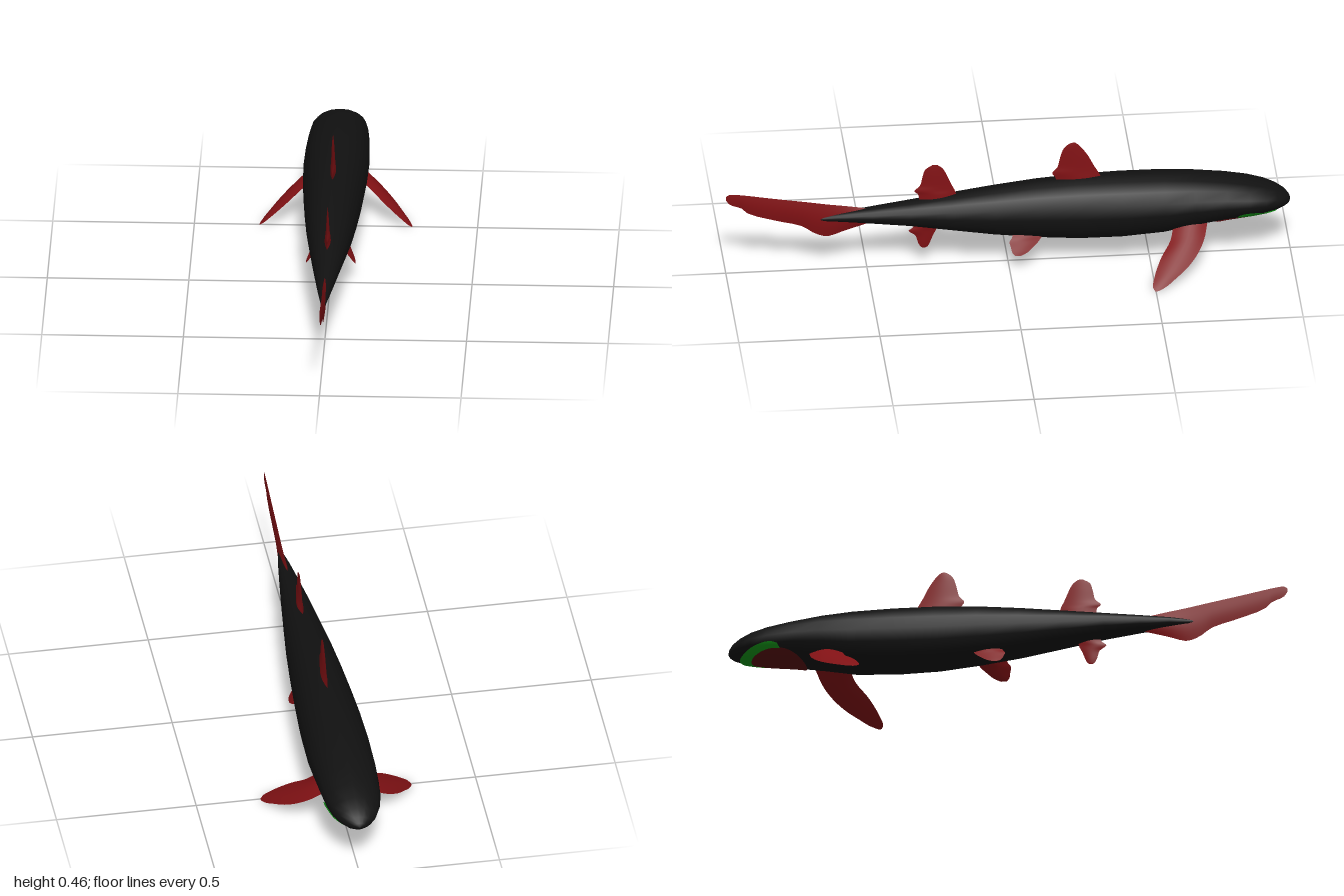
import * as THREE from 'three';

// Body rings, nose to tail: z, top y, bottom y, half width
const RINGS = [
  [-1, 0.207, 0.203, 0.004], [-0.995, 0.22, 0.194, 0.022], [-0.98, 0.237, 0.185, 0.045],
  [-0.95, 0.255, 0.176, 0.069], [-0.91, 0.272, 0.169, 0.087], [-0.85, 0.289, 0.16, 0.1],
  [-0.77, 0.305, 0.149, 0.107], [-0.66, 0.32, 0.129, 0.113], [-0.55, 0.328, 0.106, 0.116],
  [-0.4, 0.33, 0.094, 0.113], [-0.25, 0.327, 0.093, 0.105], [-0.1, 0.317, 0.104, 0.095],
  [0.05, 0.3, 0.121, 0.083], [0.2, 0.28, 0.144, 0.067], [0.35, 0.26, 0.167, 0.05],
  [0.48, 0.243, 0.181, 0.034], [0.58, 0.229, 0.191, 0.021], [0.65, 0.216, 0.196, 0.01],
  [0.69, 0.206, 0.202, 0.002],
];
const SIDES = 16;

// Point on the body at z; the angle runs from the belly towards +x
function bodyPoint(z, angle, lift = 0) {
  let i = 0;
  while (i < RINGS.length - 2 && RINGS[i + 1][0] < z) i++;
  const a = RINGS[i], b = RINGS[i + 1];
  const t = (z - a[0]) / (b[0] - a[0]);
  const [top, bottom, half] = [1, 2, 3].map((k) => a[k] + (b[k] - a[k]) * t);
  return [
    Math.sin(angle) * (half + lift),
    (top + bottom) / 2 - Math.cos(angle) * ((top - bottom) / 2 + lift),
    z,
  ];
}

// Grid surface; its normal follows d/du x d/dv
function grid(nu, nv, pointAt) {
  const pos = [], index = [];
  for (let i = 0; i <= nu; i++) {
    for (let j = 0; j <= nv; j++) {
      pos.push(...pointAt(i / nu, j / nv));
      if (i < nu && j < nv) {
        const a = i * (nv + 1) + j, b = a + nv + 1;
        index.push(a, b, a + 1, b, b + 1, a + 1);
      }
    }
  }
  const g = new THREE.BufferGeometry();
  g.setAttribute('position', new THREE.Float32BufferAttribute(pos, 3));
  g.setIndex(index);
  g.computeVertexNormals();
  return g;
}

// Closed loft through the body rings, sharing the seam vertices
function bodyGeometry() {
  const pos = [], index = [];
  RINGS.forEach((ring, i) => {
    for (let j = 0; j < SIDES; j++) {
      pos.push(...bodyPoint(ring[0], (j / SIDES) * Math.PI * 2));
      if (i === RINGS.length - 1) continue;
      const k = (j + 1) % SIDES;
      const a = i * SIDES + j, b = i * SIDES + k, c = a + SIDES, d = b + SIDES;
      index.push(a, b, c, b, d, c);
    }
  });
  for (let j = 1; j < SIDES - 1; j++) {
    const e = (RINGS.length - 1) * SIDES;
    index.push(0, j + 1, j, e, e + j, e + j + 1);
  }
  const g = new THREE.BufferGeometry();
  g.setAttribute('position', new THREE.Float32BufferAttribute(pos, 3));
  g.setIndex(index);
  g.computeVertexNormals();
  return g;
}

// Tapered fin from rows of [span, chord start, chord end], two lens-shaped faces
function fin(name, material, origin, span, chord, rows, thickness) {
  const group = new THREE.Group();
  group.name = name;
  const o = new THREE.Vector3(...origin);
  const s = new THREE.Vector3(...span).normalize();
  const c = new THREE.Vector3(...chord).normalize();
  const n = new THREE.Vector3().crossVectors(s, c);
  const outline = new THREE.CatmullRomCurve3(rows.map((r) => new THREE.Vector3(...r)), false, 'centripetal');
  for (const side of [1, -1]) {
    const face = grid(24, 8, (u, v) => {
      const w = side > 0 ? v : 1 - v;
      const r = outline.getPoint(u);
      const t = thickness * (1 - u) * Math.sin(Math.PI * w) * side;
      return o.clone().addScaledVector(s, r.x)
        .addScaledVector(c, r.y + (r.z - r.y) * w)
        .addScaledVector(n, t).toArray();
    });
    const mesh = new THREE.Mesh(face, material);
    mesh.name = name + (side > 0 ? 'FaceA' : 'FaceB');
    group.add(mesh);
  }
  return group;
}

export function createModel() {
  const mat = (name, color) => {
    const m = new THREE.MeshStandardMaterial({ color, side: THREE.DoubleSide });
    m.name = name;
    return m;
  };
  const black = mat('black skin', 0x111111);
  const red = mat('dark red fin', 0x801114);
  const green = mat('green lip', 0x129216);
  const maroon = mat('maroon mouth', 0x560c0e);

  const model = new THREE.Group();
  model.name = 'shark';
  const add = (name, geometry, material) => {
    const mesh = new THREE.Mesh(geometry, material);
    mesh.name = name;
    model.add(mesh);
  };

  add('body', bodyGeometry(), black);

  // Mouth oval and the lip crescent in front of it, laid over the underside
  const onJaw = (r, phi, lift) =>
    bodyPoint(-0.82 - 0.1 * r * Math.cos(phi), 0.95 * r * Math.sin(phi), lift);
  add('mouth', grid(32, 8, (u, v) => onJaw(v, u * Math.PI * 2, 0.003)), maroon);
  add('lip', grid(32, 6, (u, v) => {
    const phi = (u * 2 - 1) * 1.75;
    const width = 0.42 * Math.pow(Math.max(0, 1 - Math.pow(Math.abs(u * 2 - 1), 6)), 0.5);
    return onJaw(0.97 + width * v, phi, 0.004);
  }), green);

  // Fins on the centre line
  const Z = [0, 0, 1], UP = [0, 1, 0];
  model.add(fin('frontDorsalFin', red, [0, 0, 0], UP, Z, [
    [0.29, -0.345, -0.17], [0.325, -0.33, -0.17], [0.348, -0.318, -0.157], [0.37, -0.305, -0.175],
    [0.41, -0.285, -0.185], [0.44, -0.265, -0.195], [0.458, -0.25, -0.21], [0.467, -0.238, -0.225],
  ], 0.012));
  model.add(fin('rearDorsalFin', red, [0, 0, 0], UP, Z, [
    [0.25, 0.17, 0.315], [0.285, 0.185, 0.318], [0.3, 0.19, 0.332], [0.32, 0.2, 0.312],
    [0.36, 0.217, 0.302], [0.385, 0.23, 0.293], [0.402, 0.25, 0.268],
  ], 0.012));
  model.add(fin('analFin', red, [0, 0, 0], [0, -1, 0], Z, [
    [-0.18, 0.235, 0.33], [-0.155, 0.25, 0.335], [-0.14, 0.255, 0.352], [-0.12, 0.265, 0.328],
    [-0.09, 0.277, 0.318], [-0.075, 0.285, 0.31], [-0.07, 0.294, 0.303],
  ], 0.009));
  model.add(fin('tailFin', red, [0, 0, 0], Z, UP, [
    [0.46, 0.19, 0.23], [0.52, 0.172, 0.243], [0.58, 0.153, 0.253], [0.64, 0.134, 0.262],
    [0.685, 0.148, 0.27], [0.73, 0.179, 0.278], [0.82, 0.205, 0.293], [0.92, 0.239, 0.311],
    [0.945, 0.262, 0.315], [0.985, 0.278, 0.319], [1, 0.298, 0.31],
  ], 0.011));

  // Paired fins, built for each side
  for (const side of [1, -1]) {
    const label = side > 0 ? 'left' : 'right';
    model.add(fin(label + 'PectoralFin', red, [side * 0.085, 0.143, 0], [side * 0.795, -0.607, 0], Z, [
      [-0.02, -0.7, -0.58], [0.04, -0.685, -0.565], [0.1, -0.655, -0.53], [0.15, -0.615, -0.508],
      [0.19, -0.57, -0.495], [0.215, -0.54, -0.49], [0.232, -0.51, -0.497],
    ], 0.016));
    model.add(fin(label + 'PelvicFin', red, [side * 0.05, 0.128, 0], [side * 0.53, -0.85, 0], Z, [
      [-0.02, -0.125, -0.015], [0.005, -0.115, -0.01], [0.02, -0.105, 0], [0.04, -0.085, -0.004],
      [0.058, -0.065, -0.008], [0.071, -0.04, -0.018],
    ], 0.008));
  }
  return model;
}
